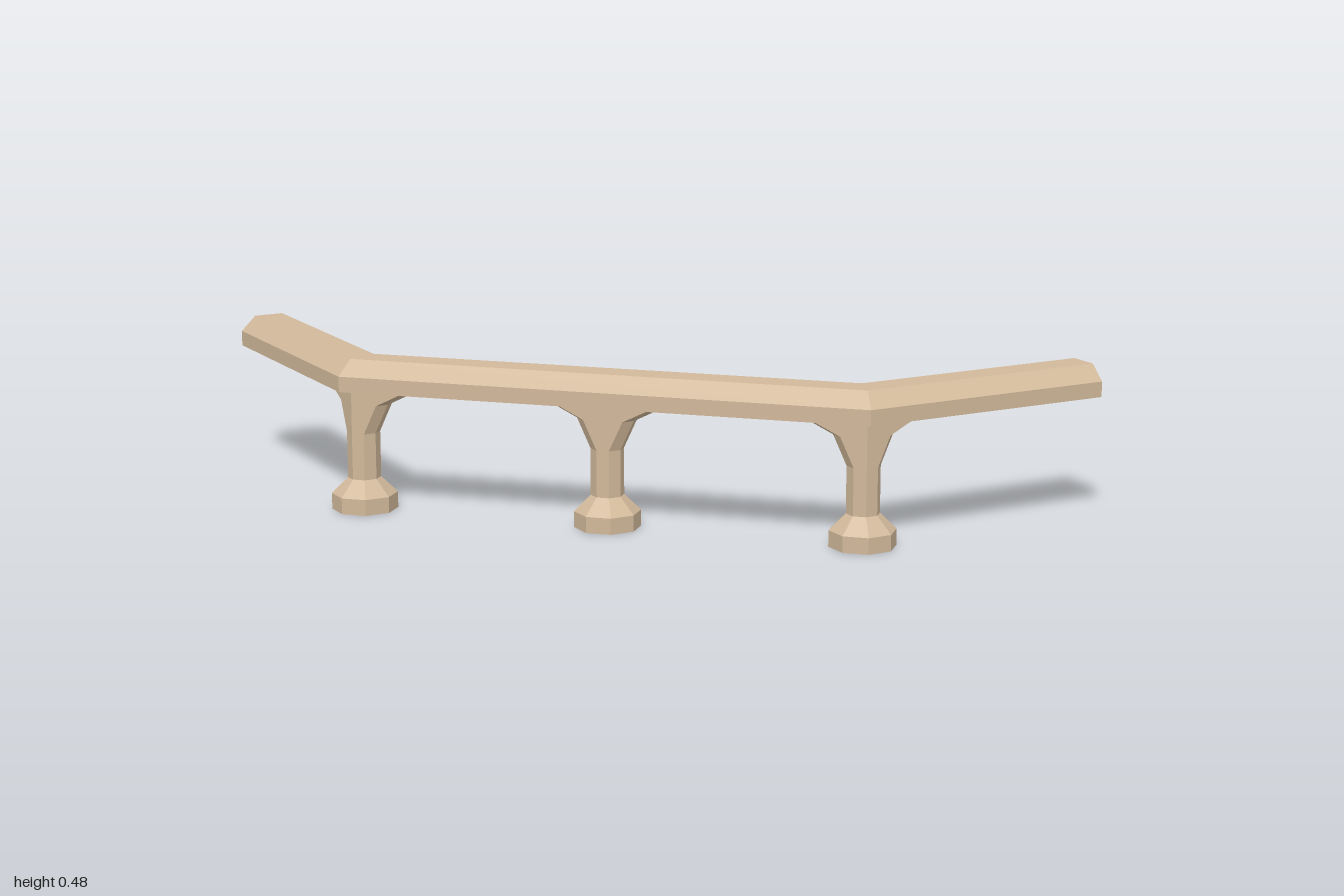
import * as THREE from 'three';

const stone = new THREE.MeshStandardMaterial({ color: 0xd2b99b });
stone.name = 'sandstone';

function addMesh(parent, name, geometry) {
  const flat = geometry.index ? geometry.toNonIndexed() : geometry;
  flat.computeVertexNormals();
  const mesh = new THREE.Mesh(flat, stone);
  mesh.name = name;
  parent.add(mesh);
  return mesh;
}

// Skin over closed rings of [x, y, z] points, capped at both ends
function loft(rings) {
  const n = rings[0].length;
  const pos = [];
  const tri = (a, b, c) => pos.push(...a, ...b, ...c);
  for (let i = 0; i + 1 < rings.length; i++) {
    for (let j = 0; j < n; j++) {
      const k = (j + 1) % n;
      tri(rings[i][j], rings[i][k], rings[i + 1][k]);
      tri(rings[i][j], rings[i + 1][k], rings[i + 1][j]);
    }
  }
  const first = rings[0], last = rings[rings.length - 1];
  for (let j = 1; j + 1 < n; j++) {
    tri(first[0], first[j + 1], first[j]);
    tri(last[0], last[j], last[j + 1]);
  }
  const g = new THREE.BufferGeometry();
  g.setAttribute('position', new THREE.Float32BufferAttribute(pos, 3));
  return g;
}

const BASE_R = 0.102, COLUMN_R = 0.051, ARM_Y = 0.245;

// Bracket: an octagon whose leading half slides out along the rail
function armGeometry(dx, dz) {
  const steps = [[ARM_Y, 0], [0.337, 0.042], [0.385, 0.139]];
  return loft(steps.map(([y, reach]) => {
    const ring = [];
    for (let k = 0; k < 8; k++) {
      const a = Math.PI / 8 + k * Math.PI / 4;
      const x = COLUMN_R * Math.sin(a), z = COLUMN_R * Math.cos(a);
      const d = x * dx + z * dz > 0.001 ? reach : 0;
      ring.push([x + dx * d, y, z + dz * d]);
    }
    return ring;
  }));
}

function lathe(points) {
  return new THREE.LatheGeometry(points.map(([r, y]) => new THREE.Vector2(r, y)), 8, Math.PI / 8);
}

function createPillar(x, z, directions) {
  const pillar = new THREE.Group();
  pillar.name = 'pillar';
  pillar.position.set(x, 0, z);
  addMesh(pillar, 'pillarBase', lathe([[0, 0], [BASE_R, 0], [BASE_R, 0.05], [COLUMN_R, 0.1]]));
  addMesh(pillar, 'pillarColumn', lathe([[COLUMN_R, 0.1], [COLUMN_R, ARM_Y]]));
  for (const [dx, dz] of directions) addMesh(pillar, 'pillarBracket', armGeometry(dx, dz));
  return pillar;
}

export function createModel() {
  const model = new THREE.Group();
  model.name = 'balustrade';

  // Bevelled rail, mitred at its two corners
  const profile = [
    [-0.095, 0.385], [-0.095, 0.433], [-0.047, 0.48],
    [0.047, 0.48], [0.095, 0.433], [0.095, 0.385],
  ];
  const m = Math.tan(Math.PI / 8);
  // Centre x, z and outward miter x, z
  const stations = [
    [-0.905, -1, -1, 0],
    [-0.905, -0.21, -1, m],
    [0.21, 0.905, -m, 1],
    [1, 0.905, 0, 1],
  ];
  addMesh(model, 'rail', loft(stations.map(([x, z, ox, oz]) =>
    profile.map(([s, y]) => [x + ox * s, y, z + oz * s]))));

  // Pillars at the corners and the middle, with brackets along the rail
  const q = Math.SQRT1_2;
  model.add(createPillar(-0.905, -0.21, [[0, -1], [q, q]]));
  model.add(createPillar(-0.3475, 0.3475, [[-q, -q], [q, q]]));
  model.add(createPillar(0.21, 0.905, [[-q, -q], [1, 0]]));
  return model;
}
